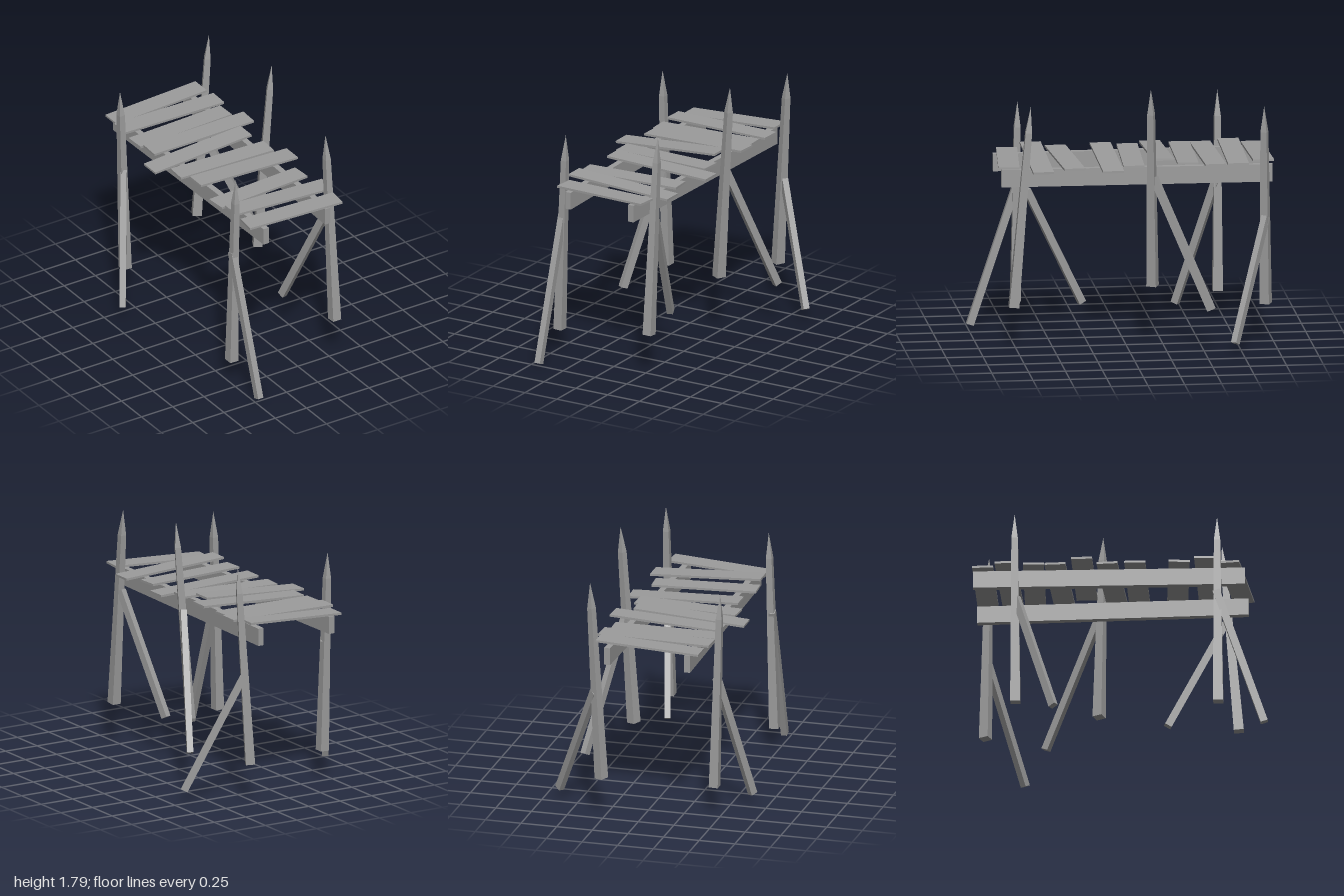
import * as THREE from 'three';

const wood = new THREE.MeshStandardMaterial({ color: 0x9c9c9c, flatShading: true });
const UP = new THREE.Vector3(0, 1, 0);

// Stand a mesh (base at its local origin) at `from`, leaning towards `to`
function lean(mesh, from, to, yaw) {
  const dir = to.clone().sub(from).normalize();
  mesh.position.copy(from);
  mesh.quaternion.setFromUnitVectors(UP, dir);
  mesh.rotateY(yaw);
  return mesh;
}

// Square stake: tapers upward, then sharpens to a point
function makePost(base, tip, yaw) {
  const from = new THREE.Vector3(...base), to = new THREE.Vector3(...tip);
  const h = from.distanceTo(to), r = Math.SQRT1_2;
  const profile = [[0, 0], [r, 0], [r * 0.64, h - 0.18], [0, h]];
  const geo = new THREE.LatheGeometry(profile.map(p => new THREE.Vector2(...p)), 4, Math.PI / 4);
  geo.scale(0.063, 1, 0.068);
  return lean(new THREE.Mesh(geo, wood), from, to, yaw);
}

// Plain square bar between two points, its sides in line with its slant
function makeStrut(a, b) {
  const from = new THREE.Vector3(...a), to = new THREE.Vector3(...b);
  const h = from.distanceTo(to);
  const geo = new THREE.BoxGeometry(0.042, h, 0.05).translate(0, h / 2, 0);
  return lean(new THREE.Mesh(geo, wood), from, to, Math.atan2(to.x - from.x, to.z - from.z));
}

export function createModel() {
  const group = new THREE.Group();
  const add = (name, mesh) => { mesh.name = name; group.add(mesh); return mesh; };

  // Pointed posts: base, tip, twist
  [
    ['frontLeftPost', [0.285, 0.29, 0.765], [0.285, 1.67, 0.65], 0],
    ['midLeftPost', [0.27, 0.41, -0.178], [0.37, 1.79, -0.155], -0.45],
    ['backLeftPost', [0.275, 0.27, -0.945], [0.36, 1.65, -0.925], -0.45],
    ['frontRightPost', [-0.475, 0.16, 0.665], [-0.435, 1.55, 0.655], 0],
    ['backRightPost', [-0.45, 0.2, -0.705], [-0.49, 1.58, -0.708], 0],
  ].forEach(([name, ...p]) => add(name, makePost(...p)));

  // Slanted struts: foot, upper end
  [
    ['frontLeftStrut', [0.17, 0.285, 0.29], [0.283, 1.1, 0.68]],
    ['midLeftStrut', [0.505, 0.285, -0.55], [0.325, 1.17, -0.18]],
    ['backLeftStrut', [0.64, 0.08, -0.695], [0.325, 0.88, -0.94]],
    ['frontRightStrut', [-0.455, 0.01, 0.975], [-0.46, 0.99, 0.65]],
    ['backRightStrut', [-0.64, 0.08, -0.44], [-0.465, 0.97, -0.70]],
  ].forEach(([name, ...s]) => add(name, makeStrut(...s)));

  // Long beams under the deck, each slightly off parallel
  [['leftBeam', 0.202, -0.02], ['rightBeam', -0.325, 0.018]].forEach(([name, x, yaw]) => {
    const beam = add(name, new THREE.Mesh(new THREE.BoxGeometry(0.042, 0.12, 1.835), wood));
    beam.position.set(x, 1.16, -0.08);
    beam.rotation.y = yaw;
  });

  // Deck planks: centre x, height, centre z, length, z drift and rise towards +x
  [
    [-0.06, 1.245, -0.928, 0.72, 0, 0.035],
    [-0.06, 1.245, -0.765, 0.78, 0.021, 0.003],
    [-0.08, 1.232, -0.595, 0.745, -0.022, 0.008],
    [-0.04, 1.25, -0.425, 0.78, 0.03, 0.03],
    [-0.157, 1.244, -0.255, 0.775, -0.003, 0.05],
    [-0.08, 1.232, -0.07, 0.72, 0.037, 0.008],
    [-0.015, 1.236, 0.098, 0.775, 0, -0.025],
    [-0.075, 1.23, 0.375, 0.72, -0.05, -0.004],
    [-0.035, 1.243, 0.57, 0.775, 0, -0.037],
    [-0.06, 1.24, 0.765, 0.7, 0.067, 0.02],
  ].forEach(([x, y, z, len, drift, rise], i) => {
    const plank = add('plank' + (i + 1), new THREE.Mesh(new THREE.BoxGeometry(len, 0.015, 0.142), wood));
    plank.position.set(x, y, z);
    plank.rotation.set(0, -Math.atan2(drift, len), Math.atan2(rise, len));
  });

  return group;
}
